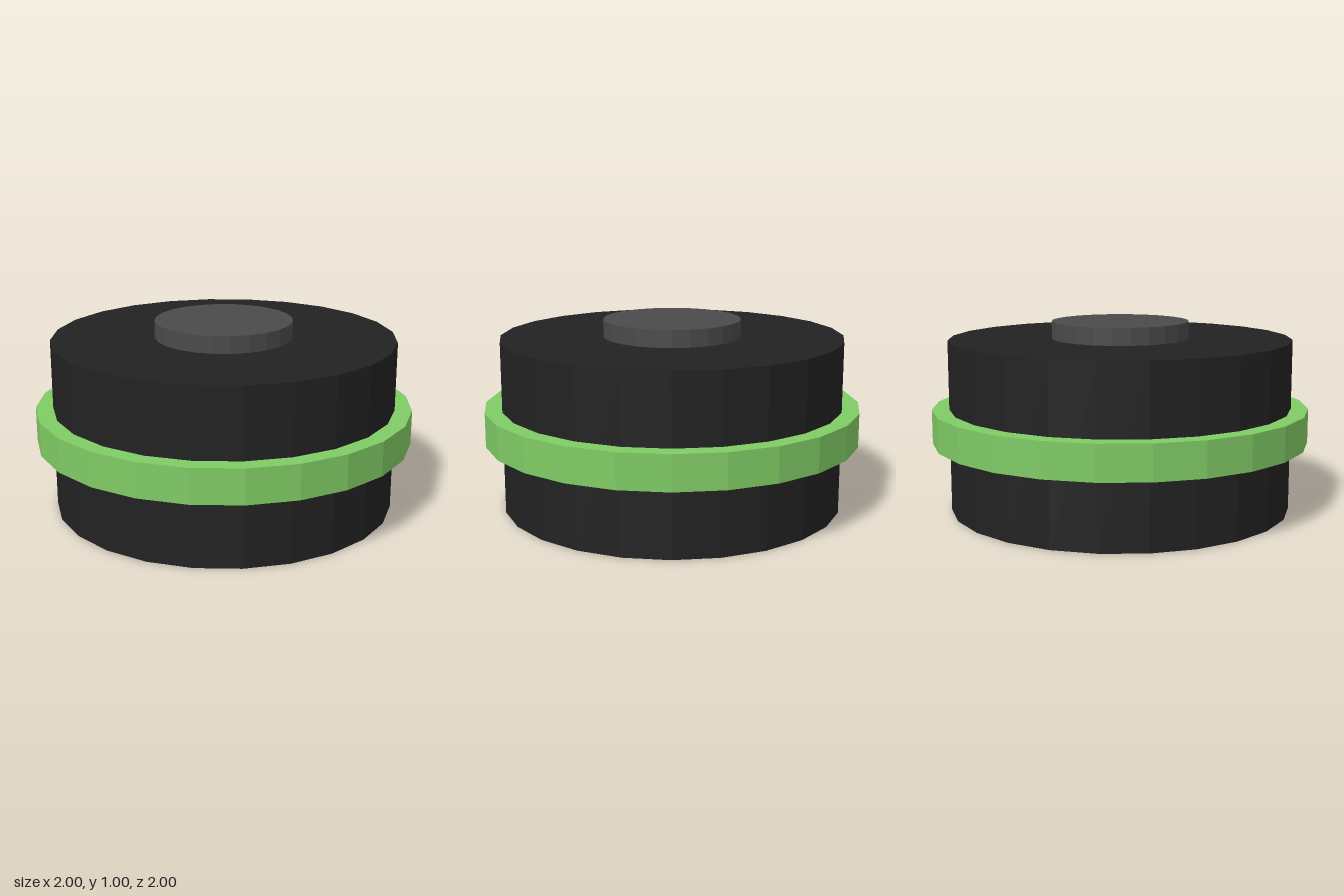
import * as THREE from 'three';

const SIDES = 24;

export function createModel() {
  const group = new THREE.Group();

  const material = (name, color) => {
    const m = new THREE.MeshStandardMaterial({ color, flatShading: true });
    m.name = name;
    return m;
  };
  const black = material('black', 0x222222);
  const grey = material('dark grey', 0x4a4a4a);
  const green = material('green', 0x80cb65);

  // Upright faceted disc between two heights
  const addDisc = (name, radius, bottom, top, mat) => {
    const mesh = new THREE.Mesh(
      new THREE.CylinderGeometry(radius, radius, top - bottom, SIDES), mat);
    mesh.position.y = (bottom + top) / 2;
    mesh.name = name;
    group.add(mesh);
  };

  addDisc('body', 0.909, 0, 0.909, black);
  addDisc('band', 1, 0.364, 0.545, green);
  addDisc('topButton', 0.364, 0.909, 1, grey);

  return group;
}
